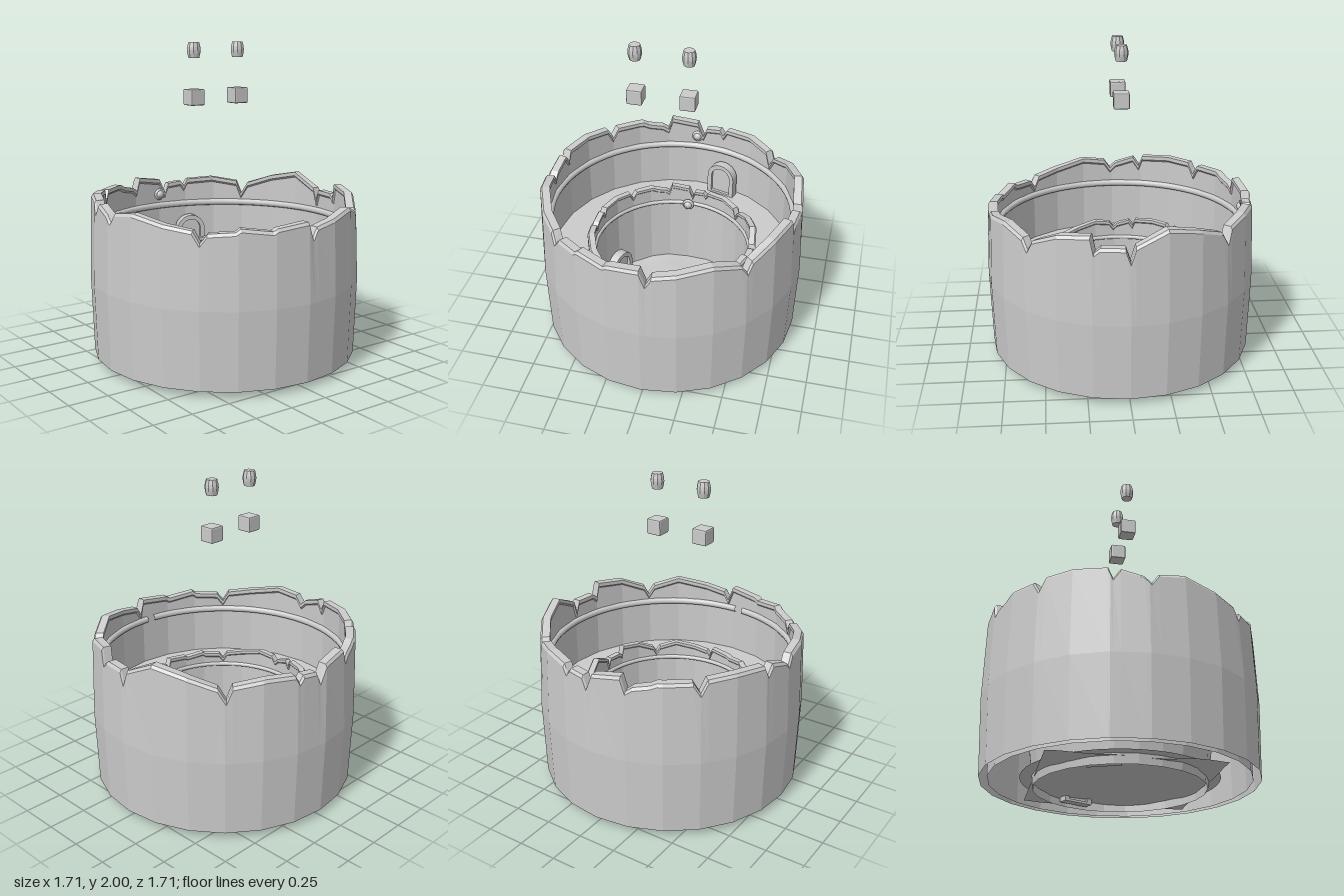
import * as THREE from 'three';
import { RoundedBoxGeometry } from 'three/addons/geometries/RoundedBoxGeometry.js';

const mat = new THREE.MeshStandardMaterial({ color: 0xcccccc, flatShading: true, side: THREE.DoubleSide });
const smooth = new THREE.MeshStandardMaterial({ color: 0xcccccc, side: THREE.DoubleSide });
const rad = THREE.MathUtils.degToRad;

function add(parent, name, geometry, x = 0, y = 0, z = 0, material = mat) {
  const mesh = new THREE.Mesh(geometry, material);
  mesh.name = name;
  mesh.position.set(x, y, z);
  parent.add(mesh);
  return mesh;
}

// Broken rim: [degrees from +z towards +x, height]
const RIM = [
  [0, 1.0], [2.5, 0.9], [5, 0.96], [15, 0.985], [30, 1.02], [42.5, 0.97], [45.5, 0.905], [48, 0.97],
  [60, 1.04], [74, 1.06], [75.5, 0.96], [78, 0.99], [88, 0.99], [90, 0.91], [92, 1.0], [105, 1.09],
  [119, 1.05], [132, 0.99], [135.5, 0.91], [138, 1.0], [151, 1.03], [164, 1.02], [166, 0.97], [168, 1.01],
  [175, 1.0], [177, 0.93], [180, 1.03], [193, 1.06], [195, 0.97], [198, 1.0], [205, 1.02], [208, 1.04],
  [222, 1.04], [225, 0.97], [228, 1.05], [240, 1.06], [254, 1.05], [256, 0.98], [259, 1.04], [268, 1.0],
  [271, 0.96], [274, 1.02], [285, 1.04], [300, 1.0], [312, 0.975], [315, 0.905], [318, 0.96], [329, 0.97],
  [331, 0.99], [344, 0.965], [346, 0.98], [360, 1.0],
];

function rimHeight(deg) {
  const k = Math.max(1, RIM.findIndex(p => p[0] >= deg));
  const [a, ya] = RIM[k - 1], [b, yb] = RIM[k];
  return ya + (yb - ya) * (deg - a) / (b - a);
}

// 24-sided ring wall with bulging side, bevelled lip and notched top, open below
function ringWall(base, heightScale, rBottom, rMiddle, rTop, rInner) {
  const angles = RIM.map(p => p[0]);
  for (let d = 0; d < 360; d += 15) angles.push(d);
  const steps = [...new Set(angles)].sort((a, b) => a - b);
  const pos = [], index = [];
  const lip = (rTop - rInner) * 0.25;
  for (const deg of steps) {
    // keep points between corners on the straight facets
    const k = Math.cos(rad(7.5)) / Math.cos(rad(deg % 15 - 7.5));
    const top = rimHeight(deg) * heightScale;
    const section = [
      [rBottom, base], [rMiddle, base + 0.48 * heightScale], [rTop, top - lip * 1.5],
      [rTop - lip, top], [rInner - lip, top], [rInner - lip, top - lip * 2], [rInner, top - lip * 3], [rInner, base],
    ];
    for (const [r, y] of section)
      pos.push(r * k * Math.sin(rad(deg)), y, r * k * Math.cos(rad(deg)));
  }
  const n = 8;
  for (let i = 0; i < steps.length - 1; i++)
    for (let j = 0; j < n - 1; j++) {
      const a = i * n + j, b = a + n;
      index.push(a, b, a + 1, b, b + 1, a + 1);
    }
  const g = new THREE.BufferGeometry();
  g.setAttribute('position', new THREE.Float32BufferAttribute(pos, 3));
  g.setIndex(index);
  g.computeVertexNormals();
  return g;
}

function archShape(Path, halfWidth, height, bottom = 0) {
  const s = new Path();
  s.moveTo(-halfWidth, bottom);
  s.lineTo(halfWidth, bottom);
  s.lineTo(halfWidth, height - halfWidth);
  s.absarc(0, height - halfWidth, halfWidth, 0, Math.PI, false);
  s.lineTo(-halfWidth, bottom);
  return s;
}

// Arched door facing the middle of the ring
function door(name, deg, radius, y) {
  const g = new THREE.Group();
  g.name = name;
  const frame = archShape(THREE.Shape, 0.1, 0.24);
  frame.holes.push(archShape(THREE.Path, 0.07, 0.21, 0.015));
  add(g, 'doorFrame', new THREE.ExtrudeGeometry(frame, { depth: 0.06, bevelEnabled: false, curveSegments: 8 }), 0, 0, -0.03);
  const panel = archShape(THREE.Shape, 0.072, 0.212, 0.012);
  add(g, 'doorPanel', new THREE.ExtrudeGeometry(panel, { depth: 0.03, bevelEnabled: false, curveSegments: 8 }), 0, 0, -0.02);
  g.position.set(radius * Math.sin(rad(deg)), y, radius * Math.cos(rad(deg)));
  g.rotation.y = rad(deg + 180);
  return g;
}

export function createModel() {
  const model = new THREE.Group();
  model.name = 'ruinedArena';

  add(model, 'outerWall', ringWall(0.04, 1, 0.84, 0.855, 0.84, 0.79));
  add(model, 'innerWall', ringWall(0, 0.635, 0.522, 0.56, 0.558, 0.52));

  // Terrace between the walls
  add(model, 'terraceFloor', new THREE.RingGeometry(0.53, 0.79, 48).rotateX(-Math.PI / 2), 0, 0.53, 0);

  // Gently uneven square ground under the inner ring
  const ground = new THREE.PlaneGeometry(1.04, 1.04, 24, 24).rotateX(-Math.PI / 2);
  const p = ground.attributes.position;
  for (let i = 0; i < p.count; i++) {
    const x = p.getX(i), z = p.getZ(i);
    p.setY(i, 0.045 + 0.008 * Math.sin(11 * x + 3 * z) * Math.cos(12 * z - 4 * x));
  }
  ground.computeVertexNormals();
  add(model, 'ground', ground, 0, 0, 0, smooth);

  // Round footing just outside the inner ring
  add(model, 'footing', new THREE.RingGeometry(0.52, 0.6, 48).rotateX(-Math.PI / 2), 0, 0.06, 0);

  // Pipe around the inside of each wall; the outer one has a short gap near the front
  const gap = 0.07;
  const pipe = new THREE.TorusGeometry(0.785, 0.022, 8, 72, Math.PI * 2 - gap).rotateX(Math.PI / 2);
  add(model, 'outerPipe', pipe, 0, 0.845, 0, smooth).rotation.y = -(Math.PI / 2 + rad(8)) + gap / 2;
  add(model, 'innerPipe', new THREE.TorusGeometry(0.515, 0.014, 8, 72).rotateX(Math.PI / 2), 0, 0.53, 0, smooth);

  // Round wall lamps at the back of both rings
  for (const [y, z] of [[0.925, -0.785], [0.53, -0.495]]) {
    const lamp = new THREE.Group();
    lamp.name = 'wallLamp';
    add(lamp, 'lampRing', new THREE.TorusGeometry(0.028, 0.012, 10, 24), 0, 0, 0, smooth);
    add(lamp, 'lampGlobe', new THREE.SphereGeometry(0.03, 16, 10), 0, 0, 0, smooth);
    lamp.position.set(0, y, z);
    model.add(lamp);
  }

  model.add(door('terraceDoor', 164, 0.728, 0.53));
  model.add(door('rightInnerDoor', -113, 0.46, 0.015));
  model.add(door('leftInnerDoor', 116, 0.46, 0.015));

  // Crates and barrels hanging above the arena
  const barrelProfile = [[0, 0], [0.034, 0], [0.041, 0.028], [0.043, 0.048], [0.041, 0.068], [0.034, 0.096], [0, 0.096]];
  for (const x of [-0.225, 0.103]) {
    add(model, 'crate', new RoundedBoxGeometry(0.098, 0.098, 0.098, 1, 0.008), x, 1.667, 0);
    add(model, 'barrel', new THREE.LatheGeometry(barrelProfile.map(q => new THREE.Vector2(...q)), 10), x, 1.904, 0);
  }

  return model;
}
